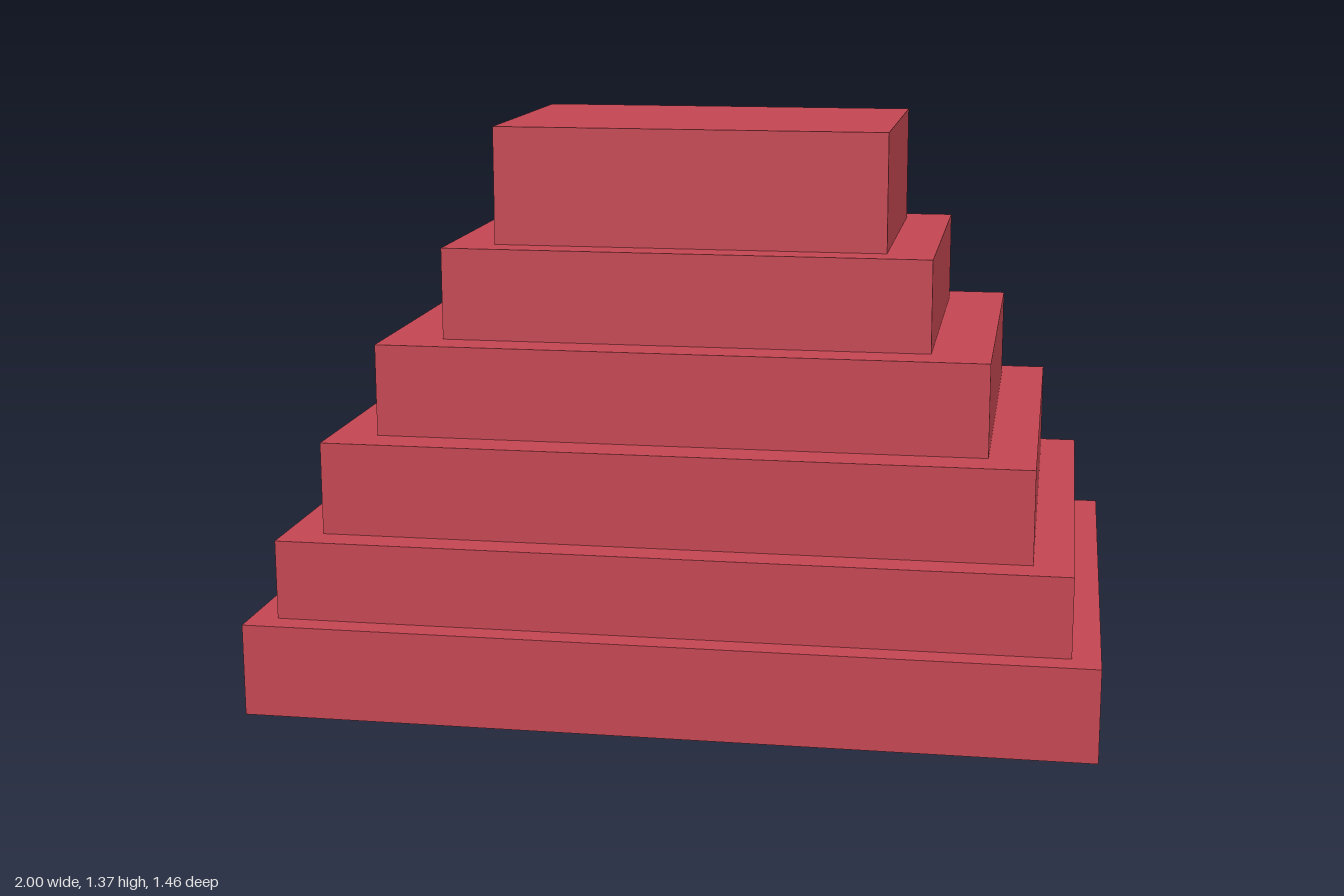
import * as THREE from 'three';

// Each tier: half width, half depth, bottom, top
const TIERS = [
  [1.0, 0.73, 0, 0.222],
  [0.934, 0.667, 0.222, 0.413],
  [0.841, 0.588, 0.413, 0.636],
  [0.73, 0.491, 0.636, 0.858],
  [0.588, 0.397, 0.858, 1.08],
  [0.475, 0.319, 1.08, 1.365],
];

export function createModel() {
  const group = new THREE.Group();
  group.name = 'steppedPyramid';
  const red = new THREE.MeshStandardMaterial({ color: 0xc24550 });
  red.name = 'brick red';

  // Stacked blocks, shrinking towards the top
  TIERS.forEach(([halfWidth, halfDepth, bottom, top], i) => {
    const tier = new THREE.Mesh(
      new THREE.BoxGeometry(halfWidth * 2, top - bottom, halfDepth * 2), red);
    tier.position.y = (bottom + top) / 2;
    tier.name = i === TIERS.length - 1 ? 'topBlock' : `tier${i + 1}`;
    group.add(tier);
  });
  return group;
}
